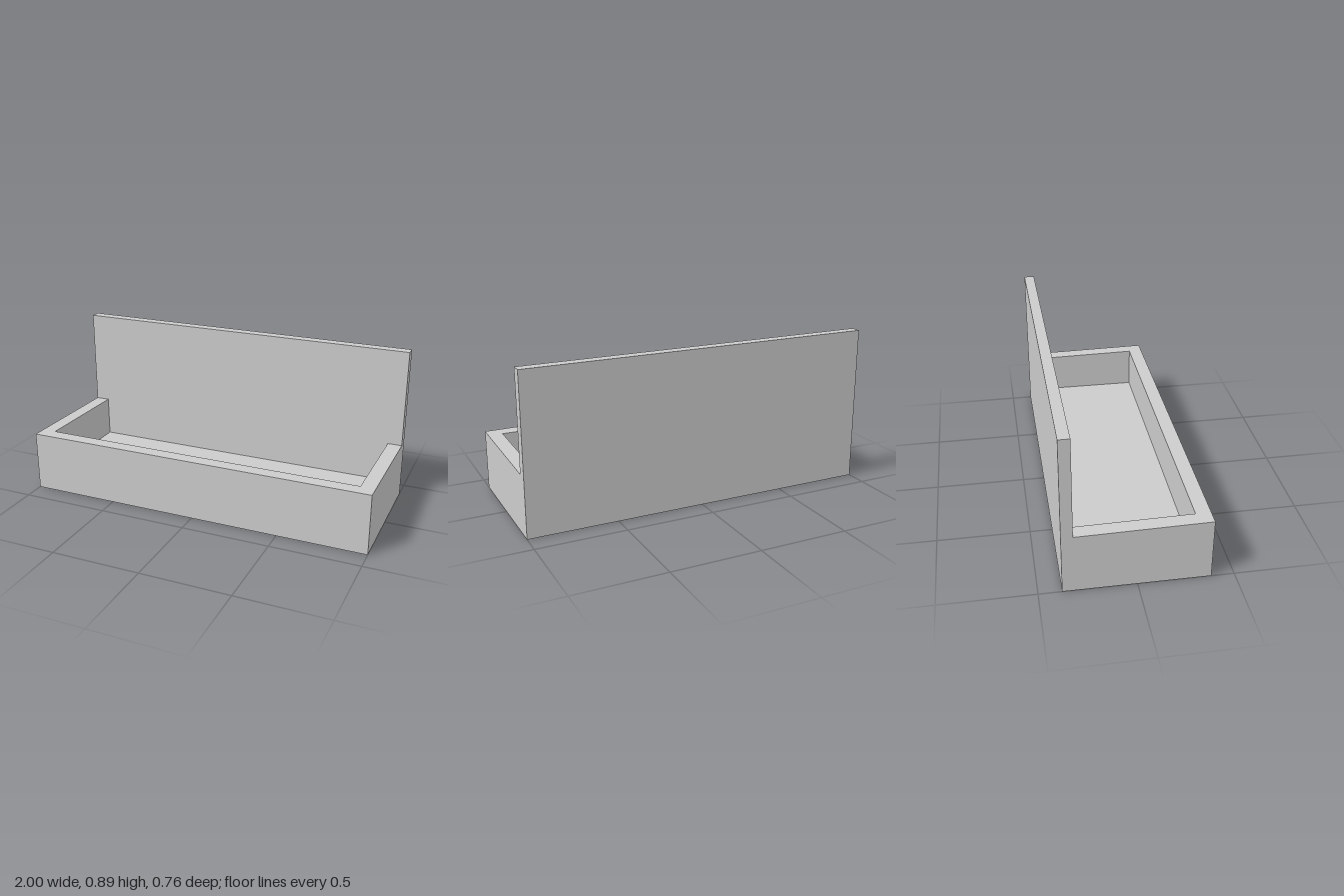
import * as THREE from 'three';

const HALF_WIDTH = 1, INNER_HALF = 0.92;
const FRONT = 0.38, INNER_FRONT = 0.3, PANEL = -0.32, BACK = -0.38;
const FLOOR = 0.1, RIM_FRONT = 0.342, RIM_BACK = 0.332, TOP = 0.886;

// Height of the gently sloping rim at depth z
const rim = (z) => THREE.MathUtils.mapLinear(z, PANEL, FRONT, RIM_BACK, RIM_FRONT);

export function createModel() {
  const group = new THREE.Group();
  const material = new THREE.MeshStandardMaterial({ color: 0xcccccc, flatShading: true });

  // Extrudes a side profile of [z, y] points across x, centred on the given x
  function addPart(name, profile, width, x = 0) {
    const shape = new THREE.Shape(profile.map(([z, y]) => new THREE.Vector2(z, y)));
    const geometry = new THREE.ExtrudeGeometry(shape, { depth: width, bevelEnabled: false });
    geometry.translate(0, 0, -width / 2).rotateY(-Math.PI / 2);
    const mesh = new THREE.Mesh(geometry, material);
    mesh.name = name;
    mesh.position.x = x;
    group.add(mesh);
  }

  // Tall back panel, full width
  addPart('backPanel', [[BACK, 0], [PANEL, 0], [PANEL, TOP], [BACK, TOP]], 2 * HALF_WIDTH);

  // Tray floor and front wall between the side walls
  addPart('floorAndFrontWall', [
    [PANEL, 0], [FRONT, 0], [FRONT, rim(FRONT)],
    [INNER_FRONT, rim(INNER_FRONT)], [INNER_FRONT, FLOOR], [PANEL, FLOOR],
  ], 2 * INNER_HALF);

  // Side walls with the sloping rim
  const wall = HALF_WIDTH - INNER_HALF;
  for (const [name, side] of [['leftWall', 1], ['rightWall', -1]]) {
    addPart(name, [[PANEL, 0], [FRONT, 0], [FRONT, rim(FRONT)], [PANEL, rim(PANEL)]],
      wall, side * (INNER_HALF + wall / 2));
  }

  return group;
}
